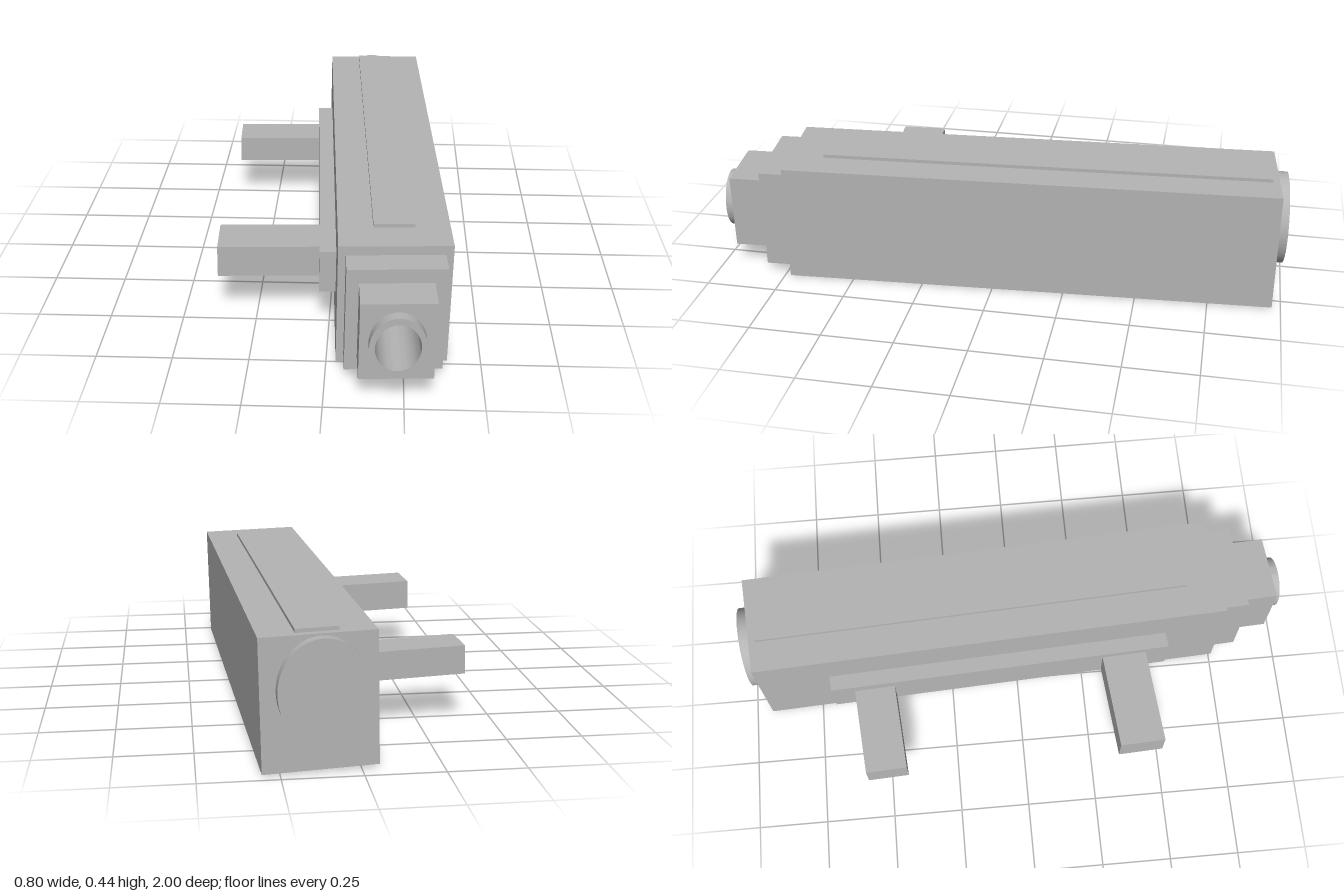
import * as THREE from 'three';
import { toCreasedNormals } from 'three/addons/utils/BufferGeometryUtils.js';

// The device sits slightly turned and skewed: local axes and centre of the housing
const placement = new THREE.Matrix4().makeBasis(
  new THREE.Vector3(1, -0.019, -0.083),
  new THREE.Vector3(0.019, 1, 0),
  new THREE.Vector3(0.051, -0.003, 1)
).setPosition(0.1725, 0.22, -0.105);

export function createModel() {
  const group = new THREE.Group();
  const grey = new THREE.MeshStandardMaterial({ color: 0xb4b4b4 });
  grey.name = 'grey';

  function add(name, geometry) {
    const mesh = new THREE.Mesh(geometry.applyMatrix4(placement), grey);
    mesh.name = name;
    group.add(mesh);
  }

  // Box given by its minimum and maximum on each local axis
  function box(name, [x0, x1], [y0, y1], [z0, z1]) {
    const g = new THREE.BoxGeometry(x1 - x0, y1 - y0, z1 - z0);
    add(name, g.translate((x0 + x1) / 2, (y0 + y1) / 2, (z0 + z1) / 2));
  }

  const ellipse = (Type, rx, ry) => new Type().absellipse(0, 0, rx, ry, 0, Math.PI * 2);

  function rectangle(hx, hy) {
    return new THREE.Shape([
      new THREE.Vector2(-hx, -hy), new THREE.Vector2(hx, -hy),
      new THREE.Vector2(hx, hy), new THREE.Vector2(-hx, hy),
    ]);
  }

  // Outline with an elliptical hole, extruded from z0 to z1
  function pierced(name, shape, rx, ry, z0, z1) {
    shape.holes.push(ellipse(THREE.Path, rx, ry));
    const g = new THREE.ExtrudeGeometry(shape, { depth: z1 - z0, bevelEnabled: false, curveSegments: 32 });
    add(name, toCreasedNormals(g.translate(0, 0, z0), 0.6));
  }

  // Long housing, hollow at the front, with two stepped front blocks
  box('housing', [-0.18, 0.18], [-0.211, 0.211], [-0.85, 0.7]);
  pierced('housingFront', rectangle(0.18, 0.211), 0.078, 0.092, 0.7, 0.85);
  pierced('largeFrontBlock', rectangle(0.156, 0.18), 0.078, 0.092, 0.85, 0.94);
  pierced('smallFrontBlock', rectangle(0.1165, 0.1325), 0.078, 0.092, 0.94, 1.062);

  // Open round barrel
  pierced('barrel', ellipse(THREE.Shape, 0.088, 0.104), 0.07, 0.081, 0.7, 1.097);

  // Round cap at the back
  const cap = new THREE.CylinderGeometry(1, 1, 0.06, 64).rotateX(Math.PI / 2);
  add('rearCap', cap.scale(0.14, 0.163, 1).translate(-0.009, 0.042, -0.855));

  // Thin strip along the top
  box('topStrip', [-0.0665, 0.0665], [0.2, 0.223], [-0.825, 0.725]);

  // Side rail and its two mounting arms
  box('sideRail', [-0.235, -0.17], [-0.075, 0.075], [-0.595, 0.64]);
  box('frontArm', [-0.575, -0.22], [-0.06, 0.05], [0.397, 0.557]);
  box('rearArm', [-0.546, -0.22], [-0.058, 0.039], [-0.513, -0.368]);

  return group;
}
